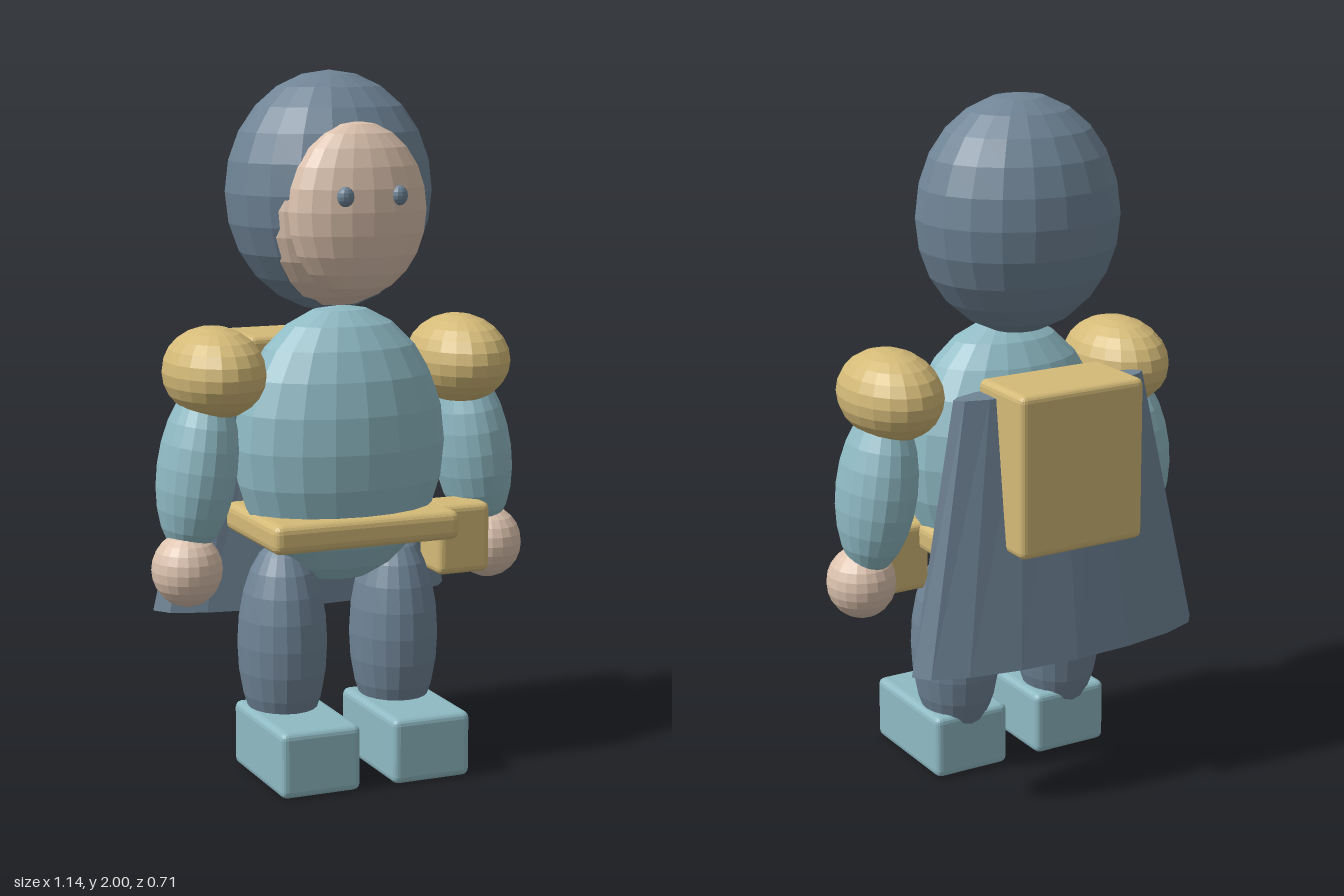
import * as THREE from 'three';
import { RoundedBoxGeometry } from 'three/addons/geometries/RoundedBoxGeometry.js';

const flat = (name, color) => {
  const m = new THREE.MeshStandardMaterial({ color, flatShading: true });
  m.name = name;
  return m;
};

export function createModel() {
  const slate = flat('slate cloth', 0x6f8496);
  const teal = flat('teal tunic', 0x8fbac4);
  const gold = flat('gold leather', 0xd4ba78);
  const skin = flat('skin', 0xdcc2ae);

  const model = new THREE.Group();
  model.name = 'hoodedTraveller';

  const add = (name, geometry, material, position) => {
    const mesh = new THREE.Mesh(geometry, material);
    mesh.name = name;
    mesh.position.set(...position);
    model.add(mesh);
    return mesh;
  };

  // Faceted ellipsoid with its poles along y
  const ellipsoid = (name, material, position, radii, segments = 20, rings = 12) =>
    add(name, new THREE.SphereGeometry(1, segments, rings).scale(...radii), material, position);

  // Box with softened edges
  const box = (name, material, position, size, radius) =>
    add(name, new RoundedBoxGeometry(...size, 2, radius), material, position);

  // Head
  ellipsoid('hood', slate, [0, 1.66, 0], [0.3, 0.34, 0.262]);
  ellipsoid('head', skin, [0, 1.62, 0.04], [0.262, 0.285, 0.245]);
  ellipsoid('face', skin, [0, 1.62, 0.2], [0.205, 0.245, 0.12]);

  // Body and gear
  ellipsoid('torso', teal, [0, 0.945, 0.08], [0.315, 0.4, 0.21]);
  box('belt', gold, [0, 0.722, 0.095], [0.57, 0.085, 0.4], 0.025);
  box('pouch', gold, [0.333, 0.662, 0.15], [0.165, 0.205, 0.14], 0.02);
  box('backpack', gold, [0, 1.0, -0.235], [0.4, 0.47, 0.24], 0.02);

  // Mirrored limbs, eyes and boots
  for (const [side, s] of [['left', 1], ['right', -1]]) {
    ellipsoid(side + 'Eye', slate, [s * 0.08, 1.665, 0.305], [0.025, 0.028, 0.02], 12, 8);
    ellipsoid(side + 'ShoulderPad', gold, [s * 0.378, 1.17, 0.07], [0.14, 0.13, 0.195]);
    const arm = ellipsoid(side + 'Arm', teal, [s * 0.428, 0.9, 0.065], [0.111, 0.25, 0.137]);
    arm.rotation.z = s * 0.14;
    ellipsoid(side + 'Hand', skin, [s * 0.47, 0.62, 0.09], [0.1, 0.106, 0.104]);
    ellipsoid(side + 'Leg', slate, [s * 0.175, 0.375, 0.07], [0.128, 0.3, 0.143]);
    box(side + 'Boot', teal, [s * 0.17, 0.095, 0.165], [0.24, 0.19, 0.38], 0.02);
  }

  // Cape: a flattened cone frustum that widens and leans back towards the hem
  const capeGeometry = new THREE.CylinderGeometry(1, 1, 0.77, 16, 1);
  const p = capeGeometry.attributes.position;
  for (let i = 0; i < p.count; i++) {
    const hem = p.getY(i) < 0;
    p.setX(i, p.getX(i) * (hem ? 0.47 : 0.31));
    p.setZ(i, hem ? -0.21 + p.getZ(i) * 0.122 : -0.173 + p.getZ(i) * 0.06);
  }
  capeGeometry.computeVertexNormals();
  add('cape', capeGeometry, slate, [0, 0.815, 0]);

  return model;
}
